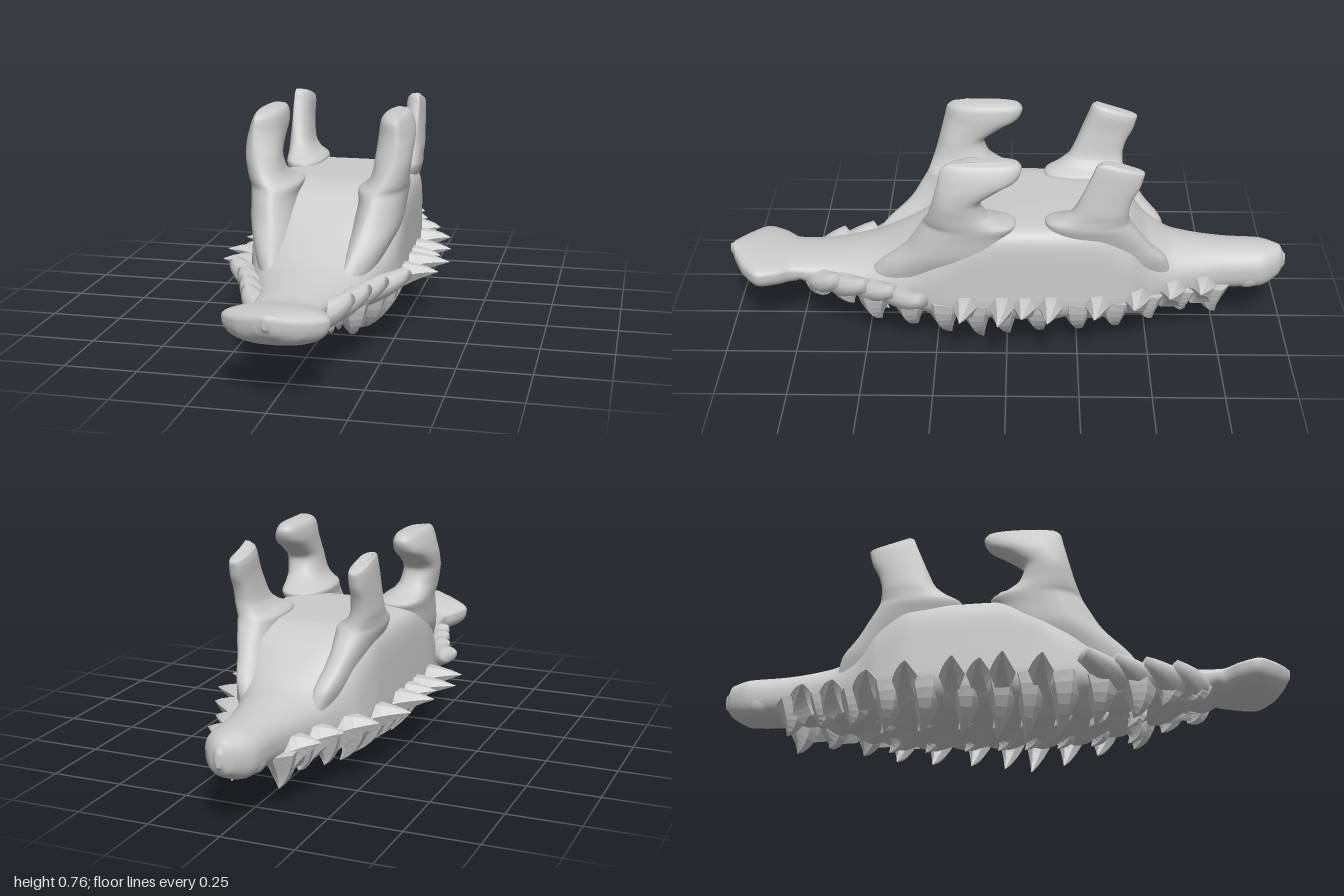
import * as THREE from 'three';
import { mergeVertices } from 'three/addons/utils/BufferGeometryUtils.js';

const smooth = new THREE.MeshStandardMaterial({ color: 0xcccccc, side: THREE.DoubleSide });
const faceted = new THREE.MeshStandardMaterial({ color: 0xcccccc, flatShading: true, side: THREE.DoubleSide });

// Skin closed rings of points into a capped solid, wound outwards; side = -1 mirrors it
function skin(rings, side = 1) {
  const n = rings[0].length, pos = [], idx = [];
  for (const r of rings) for (const p of r) pos.push(p.x * side, p.y, p.z);
  for (let i = 0; i < rings.length - 1; i++)
    for (let j = 0; j < n; j++) {
      const a = i * n + j, b = i * n + (j + 1) % n;
      idx.push(a, b, a + n, b, b + n, a + n);
    }
  const last = (rings.length - 1) * n;
  for (let j = 1; j < n - 1; j++) idx.push(0, j + 1, j, last, last + j, last + j + 1);
  let volume = 0;
  const at = (i) => new THREE.Vector3().fromArray(pos, idx[i] * 3);
  for (let i = 0; i < idx.length; i += 3) volume += at(i).dot(at(i + 1).cross(at(i + 2)));
  if (volume < 0) idx.reverse();
  const g = new THREE.BufferGeometry();
  g.setAttribute('position', new THREE.Float32BufferAttribute(pos, 3));
  g.setIndex(idx);
  const merged = mergeVertices(g, 1e-5);
  merged.computeVertexNormals();
  return merged;
}

// Smoothly resample rows of numbers, keeping each value between its neighbours
function resample(rows, steps) {
  const out = [];
  const slope = (i, k) => {
    if (i === 0 || i === rows.length - 1) return 0;
    const h0 = rows[i][0] - rows[i - 1][0], h1 = rows[i + 1][0] - rows[i][0];
    const a = (rows[i][k] - rows[i - 1][k]) / h0, b = (rows[i + 1][k] - rows[i][k]) / h1;
    return a * b <= 0 ? 0 : 2 * a * b / (a + b);
  };
  for (let i = 0; i < rows.length - 1; i++)
    for (let s = 0; s < steps + (i === rows.length - 2 ? 1 : 0); s++) {
      const t = s / steps, t2 = t * t, t3 = t2 * t, h = rows[i + 1][0] - rows[i][0];
      out.push(rows[i].map((v, k) => k === 0 ? v + h * t
        : (2 * t3 - 3 * t2 + 1) * v + (t3 - 2 * t2 + t) * h * slope(i, k)
        + (3 * t2 - 2 * t3) * rows[i + 1][k] + (t3 - t2) * h * slope(i + 1, k)));
    }
  return out;
}

const power = (v, e) => Math.sign(v) * Math.abs(v) ** e;

// Hull: z, half width, edge height, top, bottom, squareness of the upper half
const hull = [
  [-1, .01, .25, .27, .22, 2], [-.975, .045, .25, .305, .19, 2], [-.9, .09, .245, .318, .155, 2.2],
  [-.78, .1, .24, .322, .155, 2.2], [-.6, .14, .235, .345, .13, 2.1], [-.5, .18, .23, .395, .11, 2.6],
  [-.42, .225, .23, .465, .095, 4], [-.3, .25, .23, .503, .085, 7], [0, .262, .23, .503, .085, 8],
  [.12, .264, .23, .485, .085, 7], [.22, .258, .23, .44, .09, 4], [.34, .225, .23, .375, .1, 2.3],
  [.5, .17, .23, .312, .13, 1.9], [.65, .125, .235, .288, .16, 2], [.76, .115, .245, .28, .178, 2.2],
  [.82, .15, .255, .287, .178, 2.2], [.88, .17, .258, .298, .178, 2.2], [.94, .12, .262, .302, .195, 2],
  [.98, .05, .272, .302, .23, 2], [1, .01, .28, .295, .258, 2],
];
const hullRows = resample(hull, 7);
const widthAt = (z) => hullRows.reduce((a, b) => Math.abs(b[0] - z) < Math.abs(a[0] - z) ? b : a)[1];

function hullGeometry() {
  const n = 72;
  return skin(hullRows.map(([z, w, mid, top, bottom, sq]) =>
    Array.from({ length: n }, (_, j) => {
      const a = j / n * Math.PI * 2, c = Math.cos(a), s = Math.sin(a);
      const e = s > 0 ? 2 / sq : .78;
      const x = w * power(c, e);
      let y = mid + (s > 0 ? top - mid : mid - bottom) * power(s, e);
      // overlapping scale ripples and a shallow centre groove underneath
      if (s < 0 && Math.abs(z) < .76)
        y += -s * (.012 * Math.sin(z * 48 + Math.abs(x) * 30) + .022 * Math.exp(-((x / .07) ** 2)));
      return new THREE.Vector3(x, y, z);
    })));
}

// Posts: height, inner x, outer x, front z, back z
const frontPost = [
  [.24, .07, .2, .5, 0], [.31, .085, .225, .455, 0], [.4, .1, .26, .358, 0],
  [.47, .11, .268, .312, -.01], [.505, .105, .273, .292, -.03], [.53, .135, .277, .28, .025],
  [.56, .155, .281, .268, .07], [.61, .165, .288, .253, .09],
  [.66, .168, .29, .24, .03], [.7, .168, .285, .23, -.035], [.735, .172, .273, .222, -.05],
  [.755, .182, .26, .2, -.038], [.764, .2, .24, .15, 0],
];
const rearPost = [
  [.24, .07, .16, -.15, -.58], [.33, .08, .19, -.14, -.56], [.4, .1, .215, -.14, -.5],
  [.47, .11, .24, -.13, -.45], [.508, .11, .25, -.13, -.425], [.535, .145, .25, -.18, -.415],
  [.565, .165, .252, -.22, -.413], [.61, .174, .25, -.243, -.422], [.68, .18, .247, -.272, -.447],
  [.72, .18, .245, -.288, -.455], [.75, .185, .24, -.3, -.46], [.76, .195, .23, -.315, -.44],
];

// keen sharpens the leading edge, slant tips the top downwards to the back
function postGeometry(rows, side, keen, slant) {
  const n = 32;
  return skin(resample(rows, 5).map(([y, inner, outer, front, back]) =>
    Array.from({ length: n }, (_, j) => {
      const a = j / n * Math.PI * 2;
      const v = power(Math.sin(a), .85), u = power(Math.cos(a), v > 0 ? keen : .75);
      const lift = slant * (v - 1) * THREE.MathUtils.smoothstep(y, .6, .76);
      // the leading edge leans from the inside at the foot to the outside at the top
      const lean = Math.max(v, 0) * (1 - Math.abs(u)) * (THREE.MathUtils.smoothstep(y, .35, .75) - .5) * .045;
      return new THREE.Vector3((inner + outer) / 2 + u * (outer - inner) / 2 + lean, y + lift,
        (front + back) / 2 + v * (front - back) / 2);
    })), side);
}

// Curved tapering spike with an elliptical section; blunt keeps some width at the tip
function spike(base, bend, tip, thick, wide, side, blunt = .02, sides = 6) {
  const path = new THREE.QuadraticBezierCurve3(...[base, bend, tip].map((p) => new THREE.Vector3(...p)));
  const rings = [];
  for (let i = 0; i <= 6; i++) {
    const t = i / 6, k = blunt + (1 - blunt) * (1 - t) ** .9;
    const p = path.getPoint(t), along = path.getTangent(t);
    const across = new THREE.Vector3(0, 0, 1).addScaledVector(along, -along.z).normalize();
    const up = new THREE.Vector3().crossVectors(along, across);
    rings.push(Array.from({ length: sides }, (_, j) => {
      const a = j / sides * Math.PI * 2;
      return p.clone().addScaledVector(across, Math.cos(a) * wide * k).addScaledVector(up, Math.sin(a) * thick * k);
    }));
  }
  return skin(rings, side);
}

// Outer teeth: tip z, tip x
const outerTeeth = [[-.68, .2], [-.57, .23], [-.44, .3], [-.3, .36], [-.14, .385], [-.05, .36], [.03, .405], [.16, .385]];
// Lower teeth: tip z, tip y
const lowerTeeth = [[-.75, .075], [-.64, .1], [-.52, .08], [-.4, .055], [-.27, .04], [-.13, .03], [-.01, .015],
  [.085, 0], [.2, .02], [.32, .055], [.45, .075], [.55, .125], [.64, .15]];
// Front flanges: tip x, tip z, length
const flanges = [[.295, .29, .17], [.235, .39, .17], [.198, .49, .16], [.165, .59, .11]];

export function createModel() {
  const model = new THREE.Group();
  const add = (name, geometry, material, parent = model) => {
    const mesh = new THREE.Mesh(geometry, material);
    mesh.name = name;
    parent.add(mesh);
  };

  add('body', hullGeometry(), smooth);
  for (const [side, label] of [[1, 'left'], [-1, 'right']]) {
    const half = new THREE.Group();
    half.name = label + 'Side';
    model.add(half);
    add('frontPost', postGeometry(frontPost, side, 1.2, 0), smooth, half);
    add('rearPost', postGeometry(rearPost, side, .8, .018), smooth, half);

    for (const [z, x] of outerTeeth) {
      const w = widthAt(z);
      add('outerTooth', spike([w * .7, .18, z - .01], [w + .02, .22, z - .02], [x, .22, z], .07, .07, side), faceted, half);
    }
    for (const [z, y] of lowerTeeth) {
      const w = widthAt(z), front = z > .5;
      add('lowerTooth', spike([w * .8, .2, z + .02], [w * .84, .11 + (front ? .05 : 0), z + .03],
        [Math.min(.145, w * .8), y, z], front ? .035 : .065, .07, side), faceted, half);
      // small inner scales beside the lower row
      if (Math.abs(z) < .5)
        add('innerScale', spike([w * .36, .13, z], [w * .42, .1, z + .02], [w * .4, .07, z - .02], .03, .055, side), faceted, half);
    }
    // blunt overlapping flanges behind the snout
    for (const [x, z, len] of flanges)
      add('frontFlange', spike([x * .5, .205, z + len * .6], [x * .8, .215, z + len * .5], [x, .248, z], .055, .07, side, .45, 10), smooth, half);
    // knob beside the tail
    add('tailKnob', new THREE.SphereGeometry(.045, 16, 12).scale(.7, 1, 1.2).translate(side * .06, .212, -.86), smooth, half);
  }
  return model;
}
